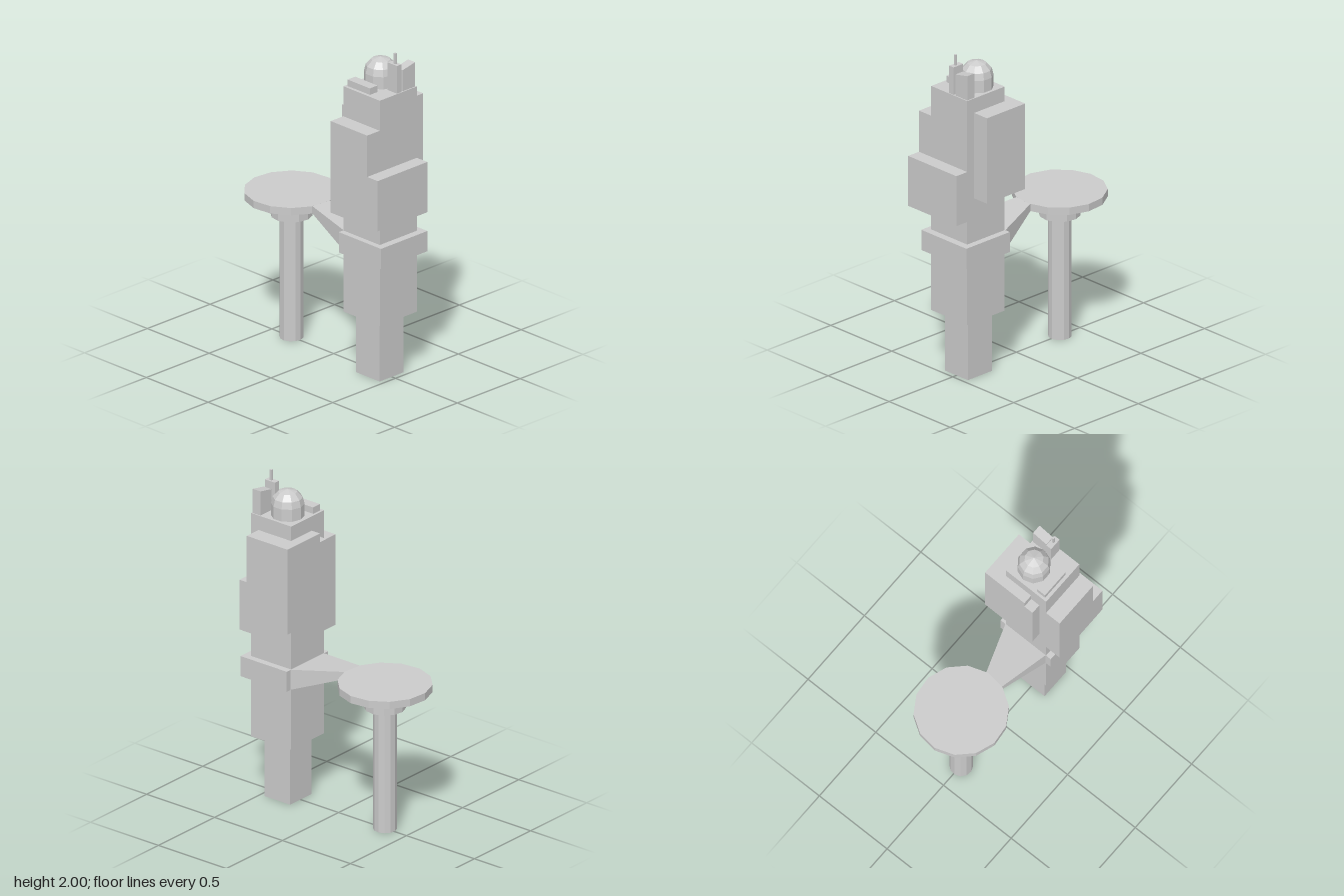
import * as THREE from 'three';

const material = new THREE.MeshStandardMaterial({ color: 0xcccccc, flatShading: true, side: THREE.DoubleSide });

export function createModel() {
  const model = new THREE.Group();

  const add = (name, geometry, x = 0, y = 0, z = 0, parent = model) => {
    const mesh = new THREE.Mesh(geometry, material);
    mesh.name = name;
    mesh.position.set(x, y, z);
    parent.add(mesh);
    return mesh;
  };

  // Box given by its extents on each axis
  const block = (name, [x0, x1], [y0, y1], [z0, z1]) =>
    add(name, new THREE.BoxGeometry(x1 - x0, y1 - y0, z1 - z0),
      (x0 + x1) / 2, (y0 + y1) / 2, (z0 + z1) / 2);

  // Box whose corners are moved by a rule on signs (-1 or 1)
  const shapedBox = (name, rule) => {
    const geometry = new THREE.BoxGeometry(2, 2, 2);
    const p = geometry.attributes.position;
    for (let i = 0; i < p.count; i++) p.setXYZ(i, ...rule(p.getX(i) > 0, p.getY(i) > 0, p.getZ(i) > 0));
    geometry.computeVertexNormals();
    return add(name, geometry);
  };

  // Tower: foot is an open square tube
  const foot = new THREE.CylinderGeometry(0.134, 0.134, 0.375, 4, 1, true, Math.PI / 4);
  add('towerFoot', foot, 0.375, 0.1875, 0.002);
  block('towerShaft', [0.23, 0.525], [0.375, 1.765], [-0.145, 0.15]);
  block('collar', [0.229, 0.57], [0.75, 0.875], [-0.185, 0.185]);
  block('frontBlock', [0.23, 0.525], [1.015, 1.58], [0.15, 0.25]);
  block('sideBlock', [0.525, 0.61], [1.015, 1.325], [-0.145, 0.25]);

  // Panel wrapping the back corner of the tower
  block('backPanel', [0.17, 0.47], [1.145, 1.675], [-0.25, -0.145]);
  block('sidePanel', [0.17, 0.23], [1.145, 1.675], [-0.145, 0.04]);
  block('sidePanelStep', [0.17, 0.23], [1.145, 1.62], [0.04, 0.1]);

  // Roof
  block('roofBox', [0.245, 0.425], [1.765, 1.805], [0.07, 0.13]);
  block('mastBase', [0.445, 0.52], [1.765, 1.935], [-0.028, 0.008]);
  block('antenna', [0.481, 0.495], [1.935, 2], [-0.016, -0.004]);
  shapedBox('slantedFin', (right, top, front) => [
    right ? 0.518 : 0.461,
    top ? (front ? 1.895 : 1.915) : 1.765,
    front ? -0.04 : -0.138,
  ]);

  // Dome on a short drum
  const domeProfile = [[0.096, 1.765], [0.096, 1.84], [0.086, 1.88], [0.055, 1.914], [0, 1.93]]
    .map(([r, y]) => new THREE.Vector2(r, y));
  add('dome', new THREE.LatheGeometry(domeProfile, 10, Math.PI / 2), 0.345, 0, -0.035);

  // Landing platform on its column
  const platform = new THREE.Group();
  platform.name = 'platform';
  platform.position.set(-0.342, 0, 0);
  model.add(platform);
  const drum = (name, radius, y0, y1, sides, start) =>
    add(name, new THREE.CylinderGeometry(radius, radius, y1 - y0, sides, 1, false, start),
      0, (y0 + y1) / 2, 0, platform);
  drum('platformDisc', 0.272, 0.865, 0.91, 14, -1.46);
  drum('platformHub', 0.12, 0.755, 0.865, 12, -1.46);
  drum('platformColumn', 0.068, 0, 0.755, 12, -1.46);

  // Bridge widening from the disc to the tower
  shapedBox('bridge', (tower, top, front) => tower
    ? [0.23, top ? 0.875 : 0.75, front ? 0.147 : -0.15]
    : [front ? -0.086 : -0.074, top ? 0.91 : 0.865, front ? 0.086 : -0.038]);

  return model;
}
